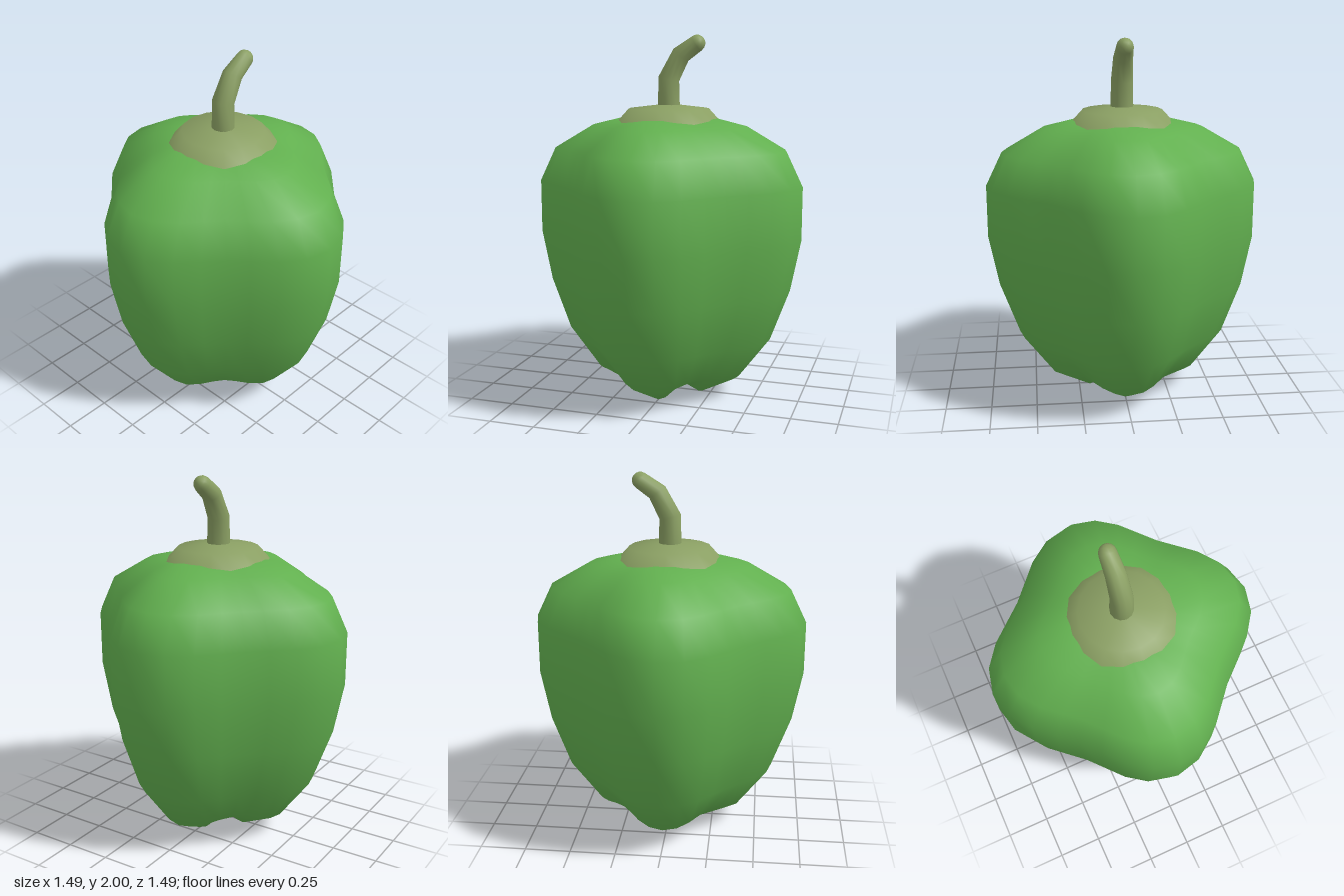
import * as THREE from 'three';
import { mergeVertices } from 'three/addons/utils/BufferGeometryUtils.js';

const green = new THREE.MeshStandardMaterial({ color: 0x62b04f });
const olive = new THREE.MeshStandardMaterial({ color: 0x8a9f63 });

// Lathe whose vertices are reshaped by a rule, then welded for seamless smooth normals
function turned(profile, sides, reshape = () => {}) {
  const geo = new THREE.LatheGeometry(profile.map(([r, y]) => new THREE.Vector2(r, y)), sides);
  const pos = geo.attributes.position;
  const p = new THREE.Vector3();
  for (let i = 0; i < pos.count; i++) {
    p.fromBufferAttribute(pos, i);
    reshape(p, i % profile.length);
    pos.setXYZ(i, p.x, p.y, p.z);
  }
  geo.deleteAttribute('uv');
  geo.deleteAttribute('normal');
  const welded = mergeVertices(geo, 1e-5);
  welded.computeVertexNormals();
  return welded;
}

function add(group, name, geometry, material) {
  const mesh = new THREE.Mesh(geometry, material);
  mesh.name = name;
  group.add(mesh);
  return mesh;
}

export function createModel() {
  const group = new THREE.Group();
  group.name = 'pepper';

  // Four-lobed body: the radius swells at each lobe, and the valleys rise at the base
  const bodyProfile = [
    [0, 0.08], [0.182, 0], [0.373, 0.11], [0.532, 0.345], [0.627, 0.63], [0.677, 0.91],
    [0.677, 1.2], [0.595, 1.385], [0.4, 1.51], [0.236, 1.555], [0, 1.53],
  ];
  const valleyLift = [0, 0.08, 0.04];
  add(group, 'body', turned(bodyProfile, 32, (p, ring) => {
    const lobe = Math.cos(4 * Math.atan2(p.x, p.z));
    p.x *= 1 + 0.1 * lobe;
    p.z *= 1 + 0.1 * lobe;
    p.y += (valleyLift[ring] ?? 0) * (1 - lobe) / 2;
  }), green);

  // Shallow cap sunk into the top
  add(group, 'cap', turned([[0.31, 1.506], [0.22, 1.605], [0, 1.632]], 16), olive);

  // Bent, tapering stem: each ring has a centre x, y, a radius and a tilt; the last rings round the tip
  const stations = [[0, 1.6, 0.062, 0], [0, 1.765, 0.059, 0.25], [0.068, 1.893, 0.053, 0.66], [0.157, 1.953, 0.046, 0.98]];
  const [tipX, tipY, tipR, tipTilt] = stations[3];
  for (const a of [0.4, 0.8, 1.2, Math.PI / 2]) {
    const ahead = tipR * Math.sin(a);
    stations.push([tipX + ahead * Math.sin(tipTilt), tipY + ahead * Math.cos(tipTilt), tipR * Math.cos(a), tipTilt]);
  }
  const stemProfile = stations.map(([, , r], i) => [Math.max(r, 0), i]);
  add(group, 'stem', turned(stemProfile, 12, (p, ring) => {
    const [cx, cy, , tilt] = stations[ring];
    p.set(cx + p.x * Math.cos(tilt), cy - p.x * Math.sin(tilt), p.z);
  }), olive);

  return group;
}
